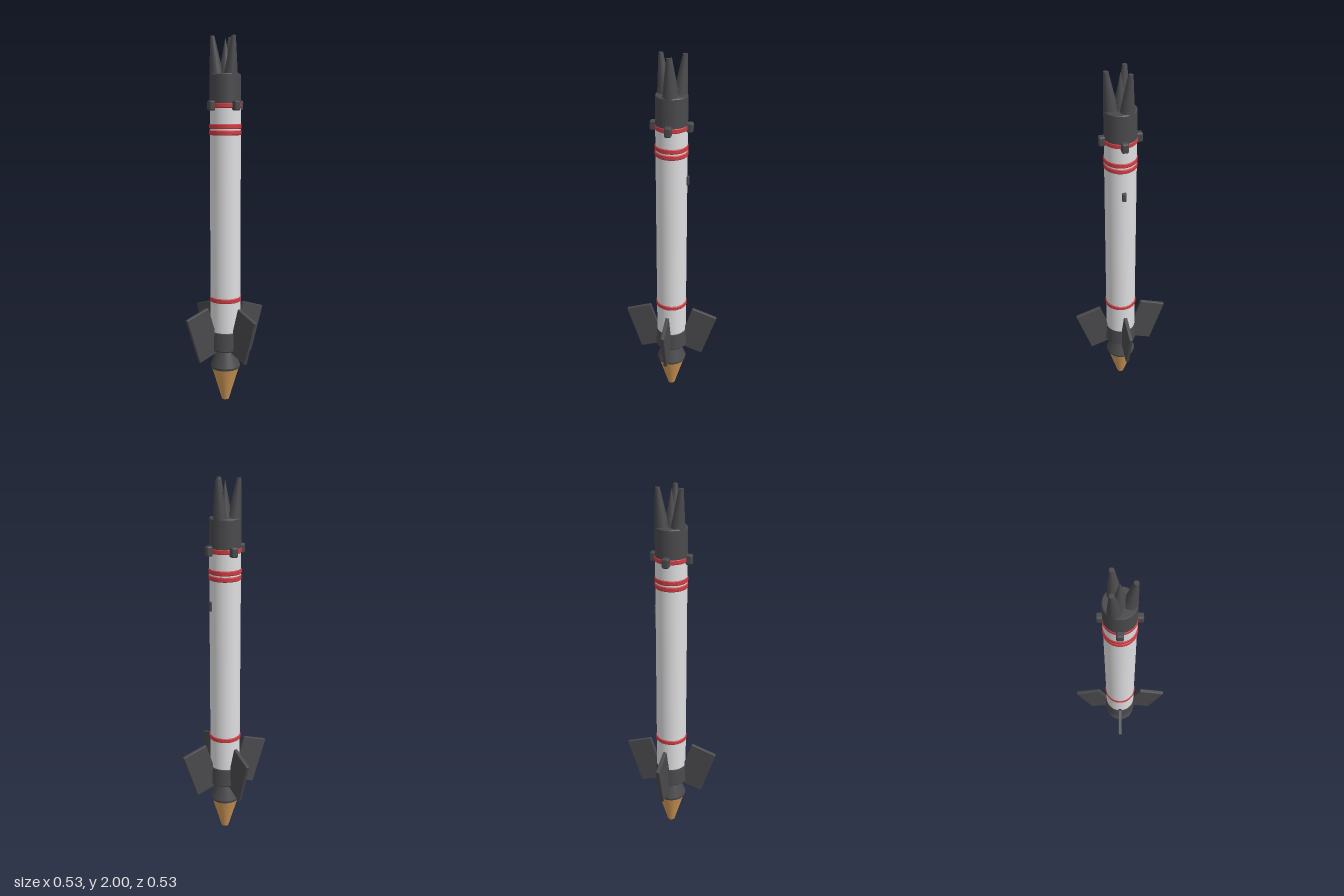
import * as THREE from 'three';
import { RoundedBoxGeometry } from 'three/addons/geometries/RoundedBoxGeometry.js';

const material = (name, color) => {
  const m = new THREE.MeshStandardMaterial({ color });
  m.name = name;
  return m;
};

export function createModel() {
  const white = material('white', 0xdedee0);
  const dark = material('charcoal', 0x4a4a4d);
  const red = material('red', 0xcc3d44);
  const amber = material('amber', 0xd29a58);

  const rocket = new THREE.Group();
  rocket.name = 'rocket';

  const add = (name, geometry, mat, x = 0, y = 0, z = 0, parent = rocket) => {
    const mesh = new THREE.Mesh(geometry, mat);
    mesh.name = name;
    mesh.position.set(x, y, z);
    parent.add(mesh);
    return mesh;
  };
  // Upright round section from y0 (radius r0) to y1 (radius r1)
  const section = (name, mat, y0, r0, y1, r1) =>
    add(name, new THREE.CylinderGeometry(r1, r0, y1 - y0, 48), mat, 0, (y0 + y1) / 2);

  // Exhaust, nozzle and tail
  section('exhaust', amber, 0, 0.02, 0.19, 0.077);
  section('nozzleLip', dark, 0.187, 0.08, 0.2, 0.083);
  section('nozzle', dark, 0.2, 0.083, 0.302, 0.045);
  section('collarLowerBevel', dark, 0.295, 0.083, 0.302, 0.089);
  section('collar', dark, 0.302, 0.089, 0.4, 0.085);
  section('collarUpperBevel', dark, 0.4, 0.085, 0.407, 0.081);

  // Body and trim rings
  section('body', white, 0.4, 0.083, 1.65, 0.083);
  for (const y of [0.585, 1.497, 1.53, 1.64]) {
    section('ring', red, y - 0.009, 0.087, y + 0.009, 0.087);
    section('ringLowerBevel', red, y - 0.013, 0.083, y - 0.009, 0.087);
    section('ringUpperBevel', red, y + 0.009, 0.087, y + 0.013, 0.083);
  }

  // Nose cap with a central point
  section('noseCap', dark, 1.648, 0.084, 1.8, 0.083);
  section('noseCapBevel', dark, 1.8, 0.083, 1.805, 0.079);
  add('centrePoint', new THREE.ConeGeometry(0.037, 0.195, 32), dark, 0, 1.8975);

  // Three prongs, upright on the outside and sloping on the inside
  for (let i = 0; i < 3; i++) {
    const angle = (i * Math.PI * 2) / 3;
    const prong = new THREE.CylinderGeometry(0.012, 0.037, 0.2, 24, 4);
    const p = prong.attributes.position;
    for (let v = 0; v < p.count; v++) {
      p.setX(v, p.getX(v) + 0.0585 + (p.getY(v) / 0.2) * 0.023);
    }
    prong.computeVertexNormals();
    add('prong', prong, dark, 0, 1.9, 0).rotation.y = angle;
  }

  // Four fins leaning outwards, with a knob above each
  for (let i = 0; i < 4; i++) {
    const side = new THREE.Group();
    side.name = 'side';
    side.rotation.y = (i * Math.PI) / 2;
    rocket.add(side);
    const fin = add('fin', new RoundedBoxGeometry(0.149, 0.268, 0.02, 2, 0.004), dark, 0.151, 0.397, 0, side);
    fin.rotation.z = -0.32;
    add('knob', new RoundedBoxGeometry(0.04, 0.052, 0.036, 3, 0.009), dark, 0.092, 1.64, 0, side);
  }

  // Small hatch on the back
  add('hatch', new RoundedBoxGeometry(0.022, 0.052, 0.02, 3, 0.006), dark, 0, 1.347, -0.084);

  return rocket;
}
